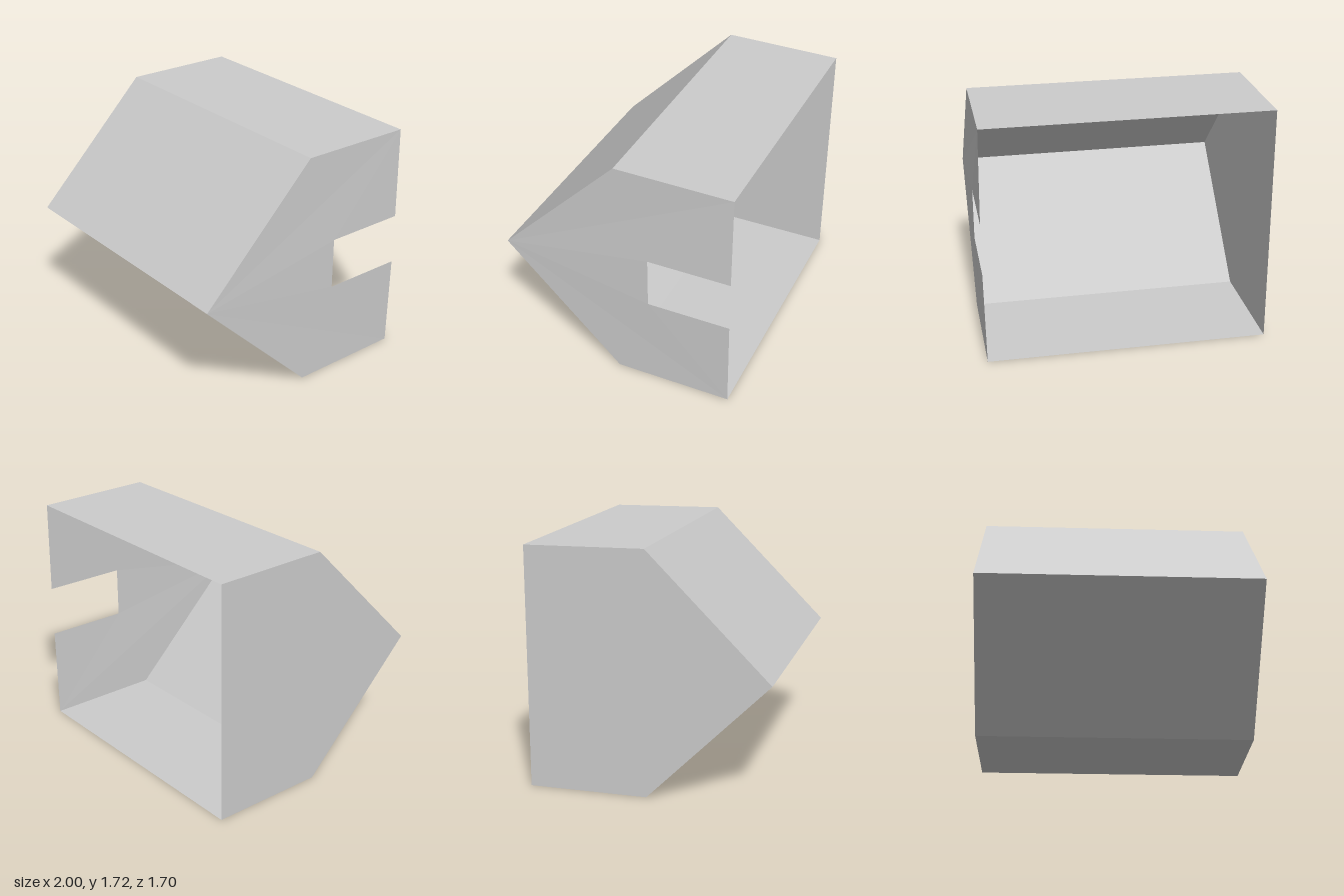
import * as THREE from 'three';

// Side profile as [z, y], from the upper back edge round the nose to the lower back edge
const PROFILE = [[-0.85, 1.705], [-0.01, 1.715], [0.85, 0.855], [-0.01, 0], [-0.85, 0]];
const NOTCH = [[-0.85, 0.67], [-0.25, 0.67], [-0.25, 1.04], [-0.85, 1.04]];
const LEFT = 0.99, RIGHT = -1;

const material = new THREE.MeshStandardMaterial({
  color: 0xcccccc, flatShading: true, side: THREE.DoubleSide,
});

function part(name, geometry) {
  const mesh = new THREE.Mesh(geometry, material);
  mesh.name = name;
  return mesh;
}

// Flat sheet spanning the width between two neighbouring profile points
function panel(name, [z0, y0], [z1, y1]) {
  const geometry = new THREE.BufferGeometry();
  geometry.setAttribute('position', new THREE.Float32BufferAttribute([
    RIGHT, y0, z0, RIGHT, y1, z1, LEFT, y1, z1, LEFT, y0, z0,
  ], 3));
  geometry.setIndex([0, 1, 2, 0, 2, 3]);
  geometry.computeVertexNormals();
  return part(name, geometry);
}

// End sheet cut from a [z, y] outline, facing outwards on the side given by sign
function endWall(name, outline, x, sign) {
  const shape = new THREE.Shape(outline.map(([z, y]) => new THREE.Vector2(-sign * z, y)));
  const geometry = new THREE.ShapeGeometry(shape).toNonIndexed();
  geometry.rotateY(sign * Math.PI / 2).translate(x, 0, 0);
  return part(name, geometry);
}

export function createModel() {
  const model = new THREE.Group();
  model.name = 'openBackHousing';

  // Folded shell, open at the back
  ['topPanel', 'upperFrontPanel', 'lowerFrontPanel', 'bottomPanel'].forEach((name, i) => {
    model.add(panel(name, PROFILE[i], PROFILE[i + 1]));
  });

  // Plain end wall and notched end wall
  model.add(endWall('rightWall', PROFILE, RIGHT, -1));
  const notched = endWall('leftNotchedWall', [...PROFILE, ...NOTCH], LEFT, 1);

  // The notch edge bows slightly outwards
  const p = notched.geometry.attributes.position;
  for (let i = 0; i < p.count; i++) {
    if (p.getZ(i) < -0.2 && p.getY(i) > 0.5 && p.getY(i) < 1.2) p.setX(i, LEFT + 0.01);
  }
  notched.geometry.computeVertexNormals();
  model.add(notched);

  return model;
}
